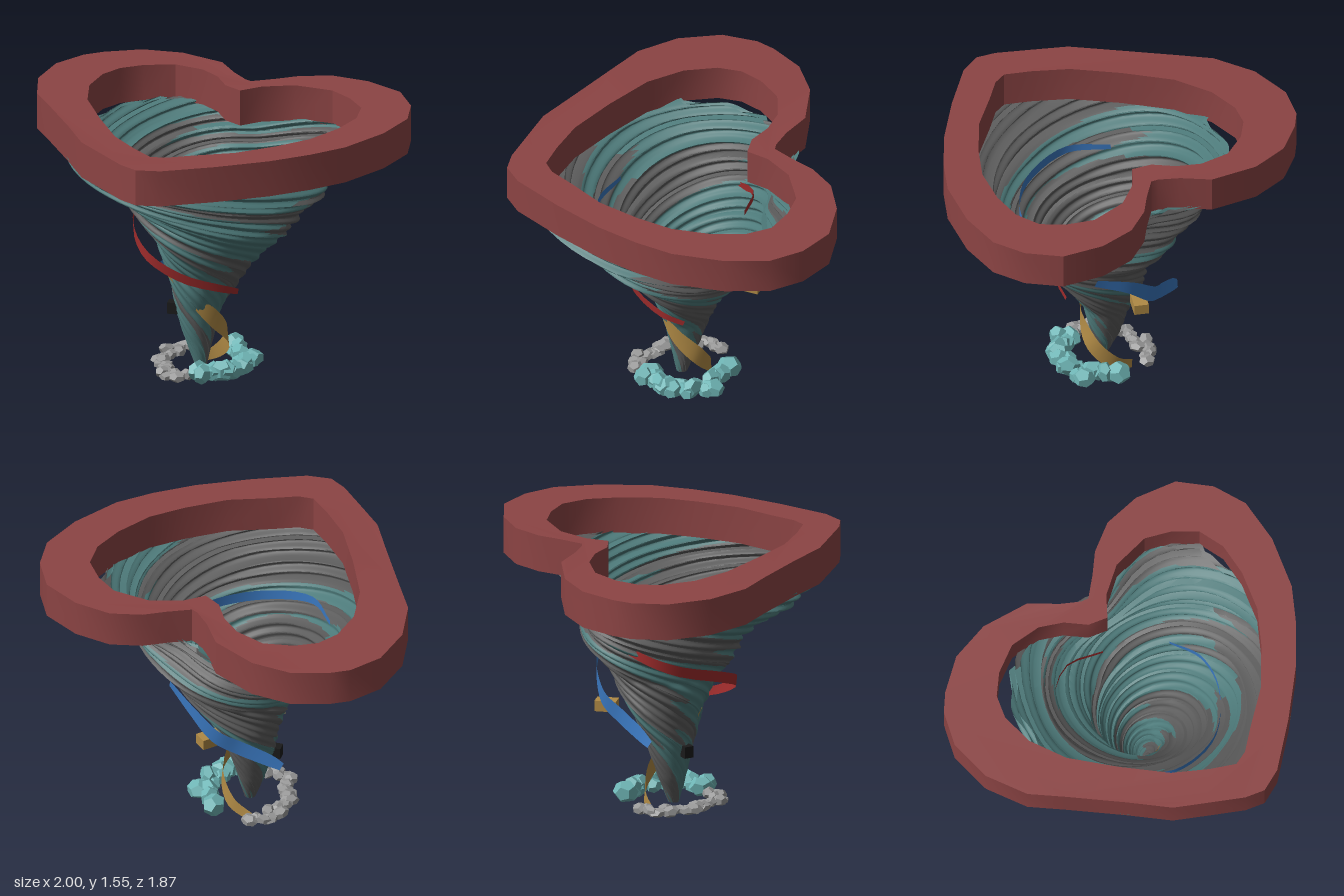
import * as THREE from 'three';
import { toCreasedNormals } from 'three/addons/utils/BufferGeometryUtils.js';

const V = (x, y, z) => new THREE.Vector3(x, y, z);
const mat = (color, extra = {}) => new THREE.MeshStandardMaterial({ color, side: THREE.DoubleSide, ...extra });
const TEAL = mat(0x4d7a7a), GREY = mat(0x5c5c5c);

let seed = 7;
const rand = () => (seed = (seed * 16807) % 2147483647) / 2147483647;

function add(parent, name, geometry, material) {
  const mesh = new THREE.Mesh(geometry, material);
  mesh.name = name;
  parent.add(mesh);
  return mesh;
}

// Heart outlines as x, z pairs
const OUTER = [[-.1, -.37], [-.05, -.5], [-.01, -.63], [.09, -.78], [.27, -.89], [.5, -.94], [.7, -.87], [.85, -.74],
  [.95, -.51], [1, -.22], [.98, 0], [.93, .24], [.83, .53], [.71, .81], [.62, .91], [.51, .93], [.3, .92], [.11, .91],
  [-.13, .83], [-.45, .73], [-.65, .67], [-.85, .52], [-.98, .31], [-1, .11], [-.97, 0], [-.87, -.19], [-.69, -.33],
  [-.43, -.41], [-.26, -.37], [-.14, -.36]];
const INNER = [[-.02, -.24], [0, -.37], [.09, -.53], [.27, -.65], [.42, -.66], [.57, -.63], [.68, -.52], [.75, -.35],
  [.79, -.13], [.77, .08], [.72, .32], [.62, .53], [.56, .67], [.5, .73], [.35, .73], [.14, .71], [-.13, .62],
  [-.4, .51], [-.58, .37], [-.68, .21], [-.7, .08], [-.66, -.05], [-.56, -.19], [-.4, -.26], [-.26, -.26], [-.13, -.22]];

function heartRim() {
  const pts = (list) => list.map(([x, z]) => new THREE.Vector2(x, -z));
  const shape = new THREE.Shape(pts(OUTER));
  shape.holes.push(new THREE.Path(pts(INNER)));
  const geo = new THREE.ExtrudeGeometry(shape, { depth: 0.205, bevelEnabled: false });
  geo.rotateX(-Math.PI / 2).translate(0, 1.343, 0);
  // slight sag at the left lobe
  const p = geo.attributes.position;
  for (let i = 0; i < p.count; i++) {
    p.setY(i, p.getY(i) - 0.025 * Math.max(0, -p.getX(i) - 0.3) / 0.7);
  }
  return toCreasedNormals(geo, 0.5);
}

// Funnel sections: y, centre x, centre z, radius x, radius z
const SECTIONS = [[.05, .09, .1, .03, .03], [.2, .065, .095, .075, .075], [.4, .055, .09, .13, .13],
  [.6, .08, .06, .225, .2], [.8, .145, .05, .33, .315], [1, .16, .04, .52, .45], [1.1, .16, .06, .59, .53],
  [1.2, .18, .09, .67, .63], [1.28, .17, .11, .71, .73], [1.36, .16, .09, .76, .81]];

function sectionAt(y) {
  let i = 0;
  while (i < SECTIONS.length - 2 && SECTIONS[i + 1][0] < y) i++;
  const a = SECTIONS[i], b = SECTIONS[i + 1], t = (y - a[0]) / (b[0] - a[0]);
  return a.map((v, k) => v + (b[k] - v) * t);
}

// One twisted shell; grid columns follow the spiral ribs, split into two colours
function funnelShell(group, name, scale, bias) {
  const cols = 150, rows = 84, pos = [], teal = [], grey = [];
  const twist = (y) => 6 * y + 0.5 * y * y;
  for (let r = 0; r <= rows; r++) {
    const y = 0.05 + 1.31 * r / rows;
    const [, cx, cz, rx, rz] = sectionAt(y);
    for (let c = 0; c < cols; c++) {
      const u = c / cols * Math.PI * 2, a = u + twist(y);
      const saw = ((c * 10 / cols) % 1) - 0.5;
      const rib = 0.055 * saw + 0.025 * Math.sin(3 * u + 1) + 0.02 * Math.sin(17 * u + 2 * y);
      // dent under the notch of the heart
      const off = Math.atan2(Math.sin(a + 1.95), Math.cos(a + 1.95));
      const dent = 0.24 * Math.exp(-off * off * 5) * THREE.MathUtils.smoothstep(y, 0.95, 1.3);
      const k = scale * (0.99 + rib - dent);
      pos.push(cx + rx * k * Math.cos(a), y, cz + rz * k * Math.sin(a));
      if (r === rows) continue;
      const n = (c + 1) % cols, i = r * cols;
      const tone = Math.sin(2 * u + 0.6) + 0.55 * Math.sin(7 * u) + bias * Math.cos(a - 1.1);
      (tone > 0 ? teal : grey).push(i + c, i + cols + c, i + n, i + n, i + cols + c, i + cols + n);
    }
  }
  for (const [label, index, material] of [['TealBands', teal, TEAL], ['GreyBands', grey, GREY]]) {
    const geo = new THREE.BufferGeometry();
    geo.setAttribute('position', new THREE.Float32BufferAttribute(pos, 3));
    geo.setIndex(index);
    add(group, name + label, toCreasedNormals(geo, 0.6), material);
  }
}

// Flat strip wrapped round the funnel along a curve, tapered at its ends
function ribbon(points, width, n = 26) {
  const curve = new THREE.CatmullRomCurve3(points.map((p) => V(...p)));
  const pos = [], idx = [];
  for (let i = 0; i <= n; i++) {
    const p = curve.getPoint(i / n), t = curve.getTangent(i / n);
    const out = V(p.x - 0.1, 0, p.z - 0.08).normalize();
    const w = width * (0.5 + 0.5 * Math.sin(Math.PI * i / n)) / 2;
    const side = t.cross(out).normalize().multiplyScalar(w);
    pos.push(...p.clone().add(side).toArray(), ...p.clone().sub(side).toArray());
    if (i < n) idx.push(2 * i, 2 * i + 1, 2 * i + 2, 2 * i + 2, 2 * i + 1, 2 * i + 3);
  }
  const geo = new THREE.BufferGeometry();
  geo.setAttribute('position', new THREE.Float32BufferAttribute(pos, 3));
  geo.setIndex(idx);
  geo.computeVertexNormals();
  return geo;
}

// Arc of jagged rocks lying round the foot
function rubble(parent, name, { from, to, radius, count, size, height, color }) {
  const group = new THREE.Group();
  group.name = name;
  const material = mat(color, { flatShading: true });
  for (let i = 0; i < count; i++) {
    const a = THREE.MathUtils.degToRad(from + (to - from) * i / (count - 1));
    const r = radius + (rand() - 0.5) * 0.07, h = height * (0.6 + 0.4 * rand());
    const rock = add(group, 'rock', new THREE.DodecahedronGeometry(1, 0), material);
    rock.scale.set(size * (0.7 + 0.6 * rand()), h / 2, size * (0.7 + 0.6 * rand()));
    rock.rotation.set(0.3 * (rand() - 0.5), rand() * 6, 0.3 * (rand() - 0.5));
    rock.position.set(0.1 + r * Math.cos(a), 0.04 + h / 2, 0.08 + r * Math.sin(a));
  }
  parent.add(group);
}

export function createModel() {
  const model = new THREE.Group();
  model.name = 'heartWhirlwind';

  add(model, 'heartRim', heartRim(), mat(0x8c4444));

  const funnel = new THREE.Group();
  funnel.name = 'funnel';
  funnelShell(funnel, 'outer', 1, 0.9);
  funnelShell(funnel, 'inner', 0.96, -0.9);
  model.add(funnel);

  // Ribbons caught in the wind
  const red = mat(0xa02c2c), blue = mat(0x3a78c0), gold = mat(0xb08a45);
  add(model, 'redRibbon', ribbon([[-.05, 1.1, -.21], [-.27, 1.08, -.17], [-.38, 1, .05], [-.33, .93, .22],
    [-.1, .84, .41], [.1, .76, .45], [.25, .66, .33], [.33, .58, .12], [.3, .53, 0]], 0.06), red);
  add(model, 'blueRibbon', ribbon([[.2, .87, -.34], [0, .79, -.31], [-.13, .68, -.24], [-.2, .61, -.13],
    [-.29, .54, 0], [-.33, .5, .06]], 0.09), blue);
  add(model, 'innerBlueRibbon', ribbon([[.32, 1.02, -.22], [.47, 1.03, -.1], [.53, 1.04, .1], [.45, 1.06, .38],
    [.2, 1.12, .55], [-.05, 1.13, .52]], 0.06), blue);
  add(model, 'goldRibbon', ribbon([[0, .61, .27], [.14, .5, .21], [.2, .37, .1], [.16, .22, -.03],
    [.04, .09, -.05], [-.07, .02, .02]], 0.09), gold);

  // Small flying blocks
  const goldBlock = add(model, 'goldBlock', new THREE.BoxGeometry(0.08, 0.06, 0.12), gold);
  goldBlock.position.set(-0.06, 0.625, -0.24);
  const darkBlock = add(model, 'darkBlock', new THREE.BoxGeometry(0.055, 0.065, 0.055), mat(0x1a1a1a));
  darkBlock.position.set(-0.03, 0.38, 0.2);
  darkBlock.rotation.y = 0.75;

  rubble(model, 'greyRubble', { from: 62, to: 205, radius: 0.25, count: 20, size: 0.045, height: 0.07, color: 0x999999 });
  rubble(model, 'tealRubble', { from: 48, to: -105, radius: 0.22, count: 18, size: 0.06, height: 0.13, color: 0x6fb5b5 });
  return model;
}
